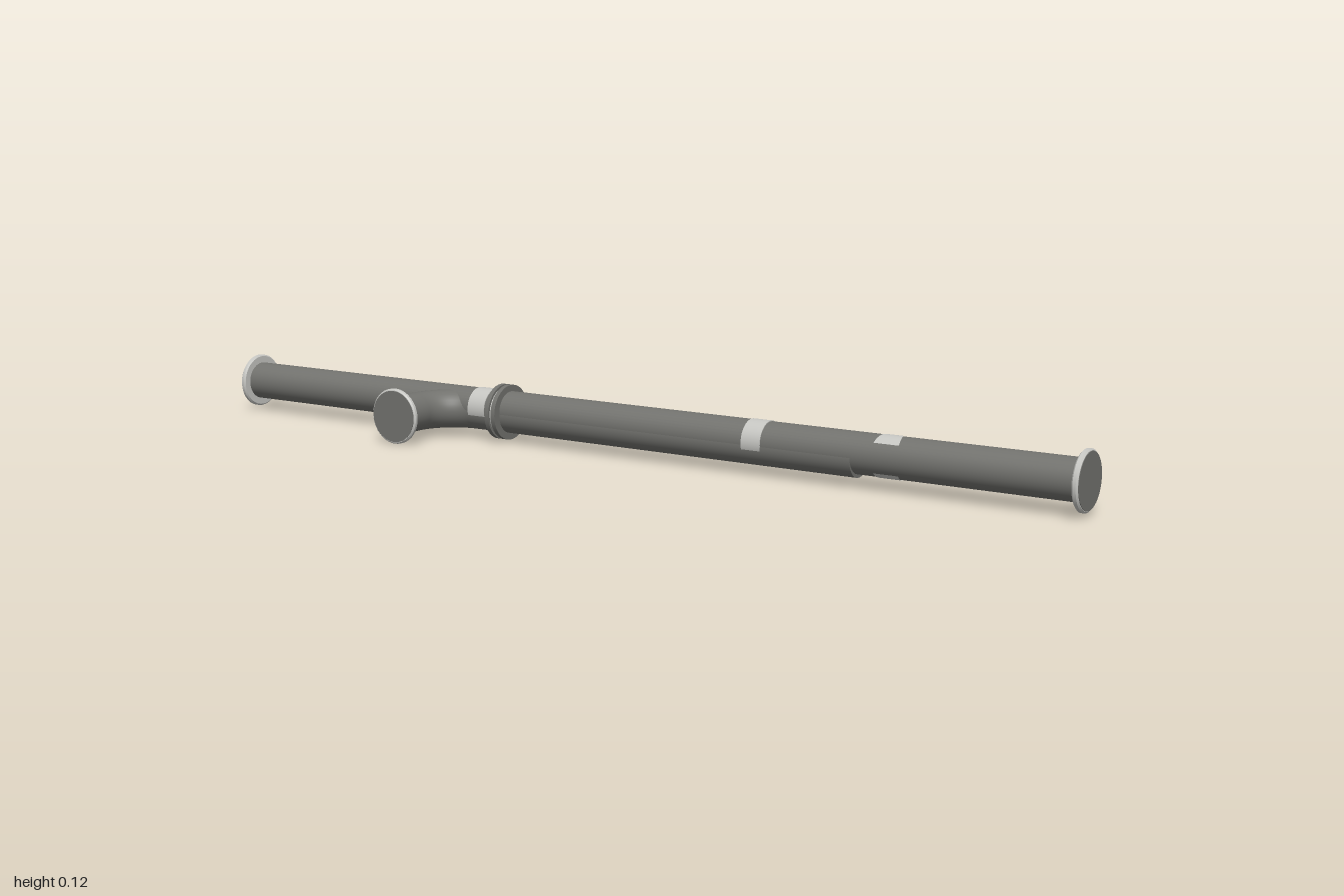
import * as THREE from 'three';

const darkSteel = new THREE.MeshStandardMaterial({ name: 'darkSteel', color: 0x72726e });
const paleSteel = new THREE.MeshStandardMaterial({ name: 'paleSteel', color: 0xc6c6c2, side: THREE.DoubleSide });
const Z = -0.054, UPPER = 0.067, LOWER = 0.06, R = 0.0405;

export function createModel() {
  const group = new THREE.Group();
  const add = (name, geometry, material, x = 0, y = 0, z = 0) => {
    const mesh = new THREE.Mesh(geometry, material);
    mesh.name = name;
    mesh.position.set(x, y, z);
    group.add(mesh);
    return mesh;
  };

  // Cylinder lying along x between two positions
  const alongX = (name, x0, x1, y, radius, material, open = false) => {
    const geo = new THREE.CylinderGeometry(radius, radius, x1 - x0, 40, 1, open);
    geo.rotateZ(-Math.PI / 2);
    return add(name, geo, material, (x0 + x1) / 2, y, Z);
  };

  // Flange with a slightly rounded rim; its outer side points along +y before turning
  const flangeGeometry = (radius, depth) => {
    const b = depth * 0.25;
    const profile = [[0, 0], [radius - b, 0], [radius - b, 0], [radius, b], [radius, b],
      [radius, depth - b], [radius, depth - b], [radius - b, depth], [radius - b, depth], [0, depth]];
    return new THREE.LatheGeometry(profile.map(p => new THREE.Vector2(...p)), 40);
  };
  const capGeometry = () => new THREE.CylinderGeometry(0.054, 0.054, 0.002, 40);

  // Main run and the slightly lower pipe that overlaps it
  alongX('mainPipe', -0.99, 0.99, UPPER, R, darkSteel);
  alongX('lowerPipe', -0.36, 0.545, LOWER, R, darkSteel);

  // End flanges with dark closing faces
  for (const side of [-1, 1]) {
    const turn = -side * Math.PI / 2;
    add('endFlange', flangeGeometry(0.058, 0.012), paleSteel, side * 0.987, UPPER, Z).rotation.z = turn;
    add('endCap', capGeometry(), darkSteel, side * 0.999, UPPER, Z).rotation.z = turn;
  }

  // Side branch: an elbow that leaves the run and turns forward
  const path = new THREE.CurvePath();
  const v = (x, z) => new THREE.Vector3(x, LOWER, z);
  const bend = new THREE.CubicBezierCurve3(v(-0.36, Z), v(-0.412, Z), v(-0.455, -0.011), v(-0.455, 0.041));
  path.add(new THREE.LineCurve3(v(-0.3, Z), v(-0.36, Z)));
  path.add(bend);
  path.add(new THREE.LineCurve3(v(-0.455, 0.041), v(-0.455, 0.104)));
  add('branchElbow', new THREE.TubeGeometry(path, 48, R, 32), darkSteel);
  add('branchFlange', flangeGeometry(0.058, 0.011), paleSteel, -0.455, LOWER, 0.102).rotation.x = Math.PI / 2;
  add('branchCap', capGeometry(), darkSteel, -0.455, LOWER, 0.113).rotation.x = Math.PI / 2;

  // Paired coupling flanges
  alongX('couplingFlangeLeft', -0.301, -0.291, LOWER + 0.003, 0.058, darkSteel);
  alongX('couplingGasket', -0.291, -0.285, LOWER + 0.003, 0.053, paleSteel);
  alongX('couplingFlangeRight', -0.285, -0.275, LOWER + 0.003, 0.058, darkSteel);

  // Pale sleeves around the main pipe
  alongX('branchSleeve', -0.358, -0.315, UPPER, R + 0.0015, paleSteel);
  alongX('middleSleeve', 0.31, 0.352, UPPER, R + 0.0015, paleSteel);

  // Small tapered patches on the upper and lower front of the pipe
  for (const side of [1, -1]) {
    const patch = new THREE.PlaneGeometry(1, 1, 6, 8);
    const pos = patch.attributes.position;
    for (let i = 0; i < pos.count; i++) {
      const t = pos.getY(i) + 0.5;
      const angle = -0.4 + t * 1.2;
      const width = 0.026 + 0.026 * Math.sqrt(t);
      pos.setXYZ(i, pos.getX(i) * width, side * Math.cos(angle) * (R + 0.001), Math.sin(angle) * (R + 0.001));
    }
    if (side > 0) patch.index.array.reverse();
    patch.computeVertexNormals();
    add(side > 0 ? 'upperPatch' : 'lowerPatch', patch, paleSteel, 0.615, UPPER, Z);
  }

  return group;
}
